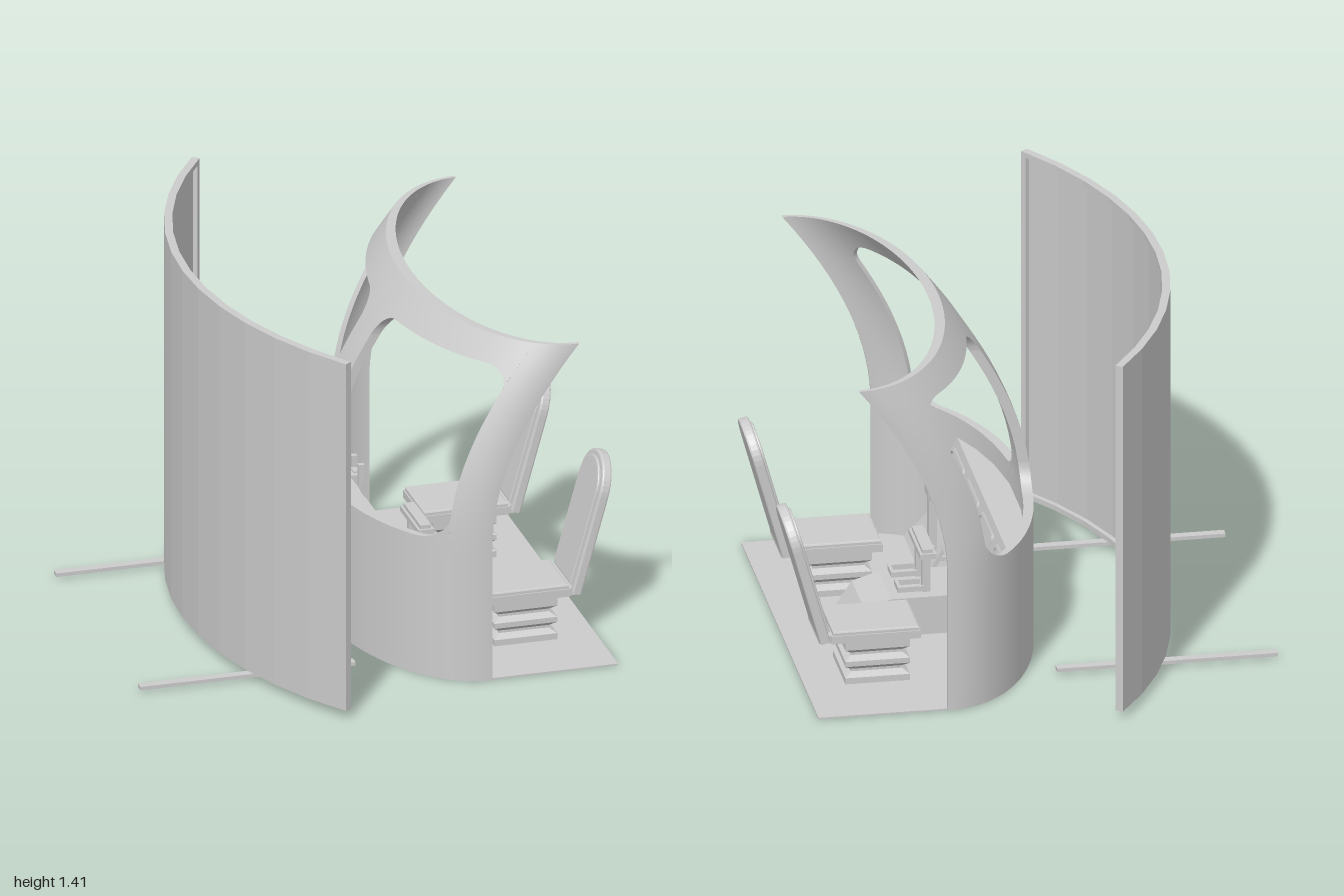
import * as THREE from 'three';
import { mergeGeometries } from 'three/addons/utils/BufferGeometryUtils.js';

const flat = new THREE.MeshStandardMaterial({ color: 0xcccccc, flatShading: true });
const sheet = new THREE.MeshStandardMaterial({ color: 0xcccccc, flatShading: true, side: THREE.DoubleSide });
const smooth = new THREE.MeshStandardMaterial({ color: 0xcccccc, side: THREE.DoubleSide });

function add(parent, name, geo, mat = flat, x = 0, y = 0, z = 0) {
  const m = new THREE.Mesh(geo, mat);
  m.name = name;
  m.position.set(x, y, z);
  parent.add(m);
  return m;
}
const box = (parent, name, w, h, d, x, y, z) => add(parent, name, new THREE.BoxGeometry(w, h, d), flat, x, y, z);

// Surface from a rule fn(u, v) -> [x, y, z], u and v in 0..1
function grid(fn, nu, nv) {
  const pos = [], idx = [];
  for (let i = 0; i <= nu; i++) for (let j = 0; j <= nv; j++) pos.push(...fn(i / nu, j / nv));
  for (let i = 0; i < nu; i++) for (let j = 0; j < nv; j++) {
    const a = i * (nv + 1) + j, b = a + nv + 1;
    idx.push(a, b, a + 1, b, b + 1, a + 1);
  }
  const g = new THREE.BufferGeometry();
  g.setAttribute('position', new THREE.Float32BufferAttribute(pos, 3));
  g.setIndex(idx);
  g.computeVertexNormals();
  return g;
}
const quad = (a, b, c, d) => grid((u, v) => (u ? (v ? c : b) : (v ? d : a)), 1, 1);

const polygon = pts => new THREE.Shape(pts.map(p => new THREE.Vector2(p[0], p[1])));
const extrude = (shape, depth, bevel = 0) => new THREE.ExtrudeGeometry(shape, {
  depth, bevelEnabled: bevel > 0, bevelSize: bevel, bevelThickness: bevel, bevelOffset: -bevel, bevelSegments: 2, curveSegments: 10 });

// Curved upright band of the projection screen
function arcBand(r0, r1, a0, a1, y0, y1, n) {
  const pts = [];
  const at = (r, a) => [1.09 - r * Math.cos(a), r * Math.sin(a)];
  for (let i = 0; i <= n; i++) pts.push(at(r1, a0 + (a1 - a0) * i / n));
  for (let i = n; i >= 0; i--) pts.push(at(r0, a0 + (a1 - a0) * i / n));
  return extrude(polygon(pts), y1 - y0).rotateX(-Math.PI / 2).translate(0, y0, 0);
}

// Cab shell: half-ellipse plan that leans back above the sill; t = 0 outside, 1 inside
const lean = y => 0.33 * Math.pow(Math.max(0, (y - 0.55) / 0.75), 1.85);
const shellPoint = (s, y, t) => [
  0.35 - (0.44 - 0.04 * t) * Math.sqrt(Math.max(0, 1 - s * s)) + lean(y), y, (0.81 - 0.015 * t) * s];

function shellBlock(z0, z1, lo, hi, n, ny) {
  const a0 = Math.asin(z0 / 0.81), a1 = Math.asin(z1 / 0.81);
  const S = u => Math.sin(a0 + (a1 - a0) * (1 - Math.cos(Math.PI * u)) / 2);
  const P = (u, v, t) => {
    const s = S(u), z = Math.abs(0.81 * s), l = lo(z);
    return shellPoint(s, l + (hi(z) - l) * v, t);
  };
  return mergeGeometries([
    grid((u, v) => P(u, v, 0), n, ny), grid((u, v) => P(u, v, 1), n, ny),
    grid((u, t) => P(u, 0, t), n, 1), grid((u, t) => P(u, 1, t), n, 1),
    grid((v, t) => P(0, v, t), ny, 1), grid((v, t) => P(1, v, t), ny, 1)]);
}

function buildShell(root) {
  const zi = 0.075, zo = 0.76, r = 0.09;
  const corner = z => { // extra height of the rounded window corners
    const d = Math.max(0, Math.min(z - zi, zo - z));
    return d < r ? r - Math.sqrt(r * r - (r - d) ** 2) : 0;
  };
  const sill = z => 0.55 + corner(z), head = z => 1.19 + 0.02 * (z - zi) / (zo - zi) - corner(z);
  const base = () => 0, top = () => 1.3;
  const shell = new THREE.Group();
  shell.name = 'cabShell';
  root.add(shell);
  add(shell, 'centrePillar', shellBlock(-zi, zi, base, top, 6, 26), smooth);
  for (const k of [-1, 1]) {
    add(shell, 'lowerWall', shellBlock(k * zi, k * zo, base, sill, 36, 11), smooth);
    add(shell, 'windowHeader', shellBlock(k * zi, k * zo, head, top, 36, 4), smooth);
    add(shell, 'sidePillar', shellBlock(k * zo, k * 0.81, base, top, 10, 26), smooth);
  }
}

// Instrument console, trimmed to the inside of the shell
const inner = x => 0.795 * Math.sqrt(1 - ((0.35 - x) / 0.4) ** 2);
function buildConsole(root) {
  const g = new THREE.Group();
  g.name = 'console';
  root.add(g);
  const rows = [[-0.045, 0.47], [-0.02, 0.47], [0.02, 0.47], [0.07, 0.47], [0.14, 0.27], [0.14, 0.225], [0.11, 0.21], [0.235, 0.005]];
  const strips = rows.slice(1).map(([x, y], i) => {
    const [px, py] = rows[i];
    return quad([px, py, -inner(px)], [px, py, inner(px)], [x, y, inner(x)], [x, y, -inner(x)]);
  });
  add(g, 'consolePanels', mergeGeometries(strips), sheet);

  // Displays lie on the sloping panel: local x across, y up the slope, z outward
  const face = new THREE.Group();
  face.name = 'displays';
  const up = new THREE.Vector3(-0.07, 0.2, 0).normalize(), across = new THREE.Vector3(0, 0, -1);
  face.quaternion.setFromRotationMatrix(new THREE.Matrix4().makeBasis(across, up, new THREE.Vector3().crossVectors(across, up)));
  face.position.set(0.14, 0.27, 0);
  g.add(face);
  const rim = (a, b, c, i) => { // a inner side, b / c outer side at bottom / top
    const p = [[a + i, 0.03 + i], [b - i * 1.3, 0.03 + i], [c - i, 0.18 - i], [a + i, 0.18 - i]], s = new THREE.Shape();
    p.forEach((q, k) => { // rounded corners
      const v = new THREE.Vector2(...q), prev = new THREE.Vector2(...p[(k + 3) % 4]), next = new THREE.Vector2(...p[(k + 1) % 4]);
      const e = v.clone().add(prev.sub(v).setLength(0.02)), f = v.clone().add(next.sub(v).setLength(0.02));
      k ? s.lineTo(e.x, e.y) : s.moveTo(e.x, e.y);
      s.quadraticCurveTo(v.x, v.y, f.x, f.y);
    });
    s.closePath();
    return s;
  };
  for (const [a, b, c] of [[0.03, 0.27, 0.27], [0.33, 0.62, 0.56]]) {
    const frame = rim(a, b, c, 0);
    frame.holes.push(rim(a, b, c, 0.012));
    for (const k of [0, Math.PI]) {
      const geo = extrude(frame, 0.01);
      if (k) { // mirror across and restore the winding
        geo.scale(-1, 1, 1);
        const p = geo.attributes.position.array;
        for (let i = 0; i < p.length; i += 9) for (let j = 0; j < 3; j++) [p[i + j], p[i + 6 + j]] = [p[i + 6 + j], p[i + j]];
        geo.computeVertexNormals();
      }
      add(face, 'displayFrame', geo);
    }
  }
}

function buildSeat(root, z) {
  const seat = new THREE.Group();
  seat.name = 'seat';
  seat.position.z = z;
  root.add(seat);
  // Square bellows pedestal
  const prof = [[0, 0.005], [0.12, 0.005], [0.12, 0.03], [0.095, 0.045], [0.095, 0.055], [0.12, 0.075], [0.12, 0.095],
    [0.095, 0.11], [0.095, 0.12], [0.12, 0.14], [0.12, 0.17], [0, 0.17]].map(p => new THREE.Vector2(p[0] * Math.SQRT2, p[1]));
  add(seat, 'bellowsBase', new THREE.LatheGeometry(prof, 4).rotateY(Math.PI / 4).scale(1, 1, 1.08), flat, 0.56);
  box(seat, 'seatPan', 0.33, 0.03, 0.26, 0.565, 0.185, 0);
  const pad = polygon([[0.405, -0.125], [0.725, -0.125], [0.725, 0.125], [0.405, 0.125]]);
  add(seat, 'seatCushion', extrude(pad, 0.01, 0.006).rotateX(-Math.PI / 2), flat, 0, 0.2, 0);
  box(seat, 'backHinge', 0.05, 0.03, 0.24, 0.75, 0.185, 0);
  // Leaning backrest with a round top
  const arch = (w, b, h) => {
    const s = new THREE.Shape();
    s.moveTo(-w, b);
    s.lineTo(w, b);
    s.lineTo(w, h - w);
    s.absarc(0, h - w, w, 0, Math.PI, false);
    s.closePath();
    return s;
  };
  const back = new THREE.Group();
  back.name = 'backrest';
  back.position.set(0.735, 0.18, 0);
  back.rotation.z = -0.27;
  seat.add(back);
  add(back, 'backShell', extrude(arch(0.132, 0, 0.52), 0.024, 0.007), flat, 0.007).rotation.y = Math.PI / 2;
  add(back, 'backPad', extrude(arch(0.11, 0.03, 0.497), 0.01, 0.004), flat, -0.005).rotation.y = Math.PI / 2;
}

function buildControls(root, k) {
  const g = new THREE.Group();
  g.name = 'pilotControls';
  g.position.z = 0.4 * k;
  root.add(g);
  box(g, 'columnFoot', 0.05, 0.04, 0.07, 0.21, 0.1, 0.02 * k);
  box(g, 'controlColumn', 0.03, 0.26, 0.035, 0.19, 0.22, 0.02 * k);
  box(g, 'yokeHub', 0.05, 0.03, 0.08, 0.185, 0.33, 0.02 * k);
  for (const s of [-1, 1]) {
    box(g, 'yokeGrip', 0.022, 0.08, 0.02, 0.195, 0.35, 0.02 * k + 0.045 * s);
    box(g, 'pedal', 0.015, 0.09, 0.05, 0.2, 0.12, 0.12 * s).rotation.z = 0.5;
    box(g, 'pedalArm', 0.04, 0.015, 0.015, 0.18, 0.12, 0.12 * s);
  }
}

export function createModel() {
  const root = new THREE.Group();
  root.name = 'cockpitSimulator';

  // Curved projection screen with raised frame, on two rails
  const A = 0.636, d = 0.014;
  add(root, 'screenPanel', arcBand(1.673, 1.685, -A, A, 0.03, 1.41, 12));
  for (const y of [0.03, 1.39]) add(root, 'screenFrame', arcBand(1.655, 1.673, -A, A, y, y + 0.02, 12));
  for (const a of [-A, A - d]) add(root, 'screenFrameEnd', arcBand(1.655, 1.673, a, a + d, 0.05, 1.39, 1));
  for (const k of [-1, 1]) box(root, 'floorRail', 0.82, 0.014, 0.035, -0.51, 0.018, 0.547 * k);

  buildShell(root);
  buildConsole(root);

  // Floor with a slot for the centre pedestal
  const f = [[0.235, 0.13], [0.235, 0.76], [0.29, 0.79], [0.35, 0.805], [0.83, 0.805]];
  const outline = [...f, ...f.slice().reverse().map(p => [p[0], -p[1]]), [0.62, -0.13], [0.62, 0.13]];
  add(root, 'floor', extrude(polygon(outline), 0.006).rotateX(-Math.PI / 2));

  // Centre pedestal, open underneath
  const w = 0.13, pr = [[0.14, 0.155], [0.44, 0.155], [0.54, 0.125], [0.62, 0.003]];
  const parts = pr.slice(1).map((q, i) => quad([...pr[i], -w], [...pr[i], w], [...q, w], [...q, -w]));
  for (const z of [-w, w]) for (let i = 0; i < 3; i++)
    parts.push(quad([...pr[i], z], [...pr[i + 1], z], [pr[i + 1][0], 0.003, z], [pr[i][0], 0.003, z]));
  add(root, 'centrePedestal', mergeGeometries(parts), sheet);

  // Lever bar on two posts with bracket frames
  box(root, 'leverBar', 0.06, 0.02, 0.24, 0.3, 0.31, 0);
  box(root, 'leverBarTop', 0.04, 0.014, 0.22, 0.3, 0.327, 0);
  for (const k of [-1, 1]) {
    box(root, 'leverPost', 0.03, 0.15, 0.03, 0.3, 0.23, 0.07 * k);
    box(root, 'bracketEnd', 0.012, 0.02, 0.08, 0.405, 0.18, 0.07 * k);
    for (const s of [-1, 1]) box(root, 'bracketArm', 0.09, 0.02, 0.012, 0.36, 0.18, 0.07 * k + 0.034 * s);
    buildSeat(root, 0.396 * k);
    buildControls(root, k);
  }
  return root;
}
